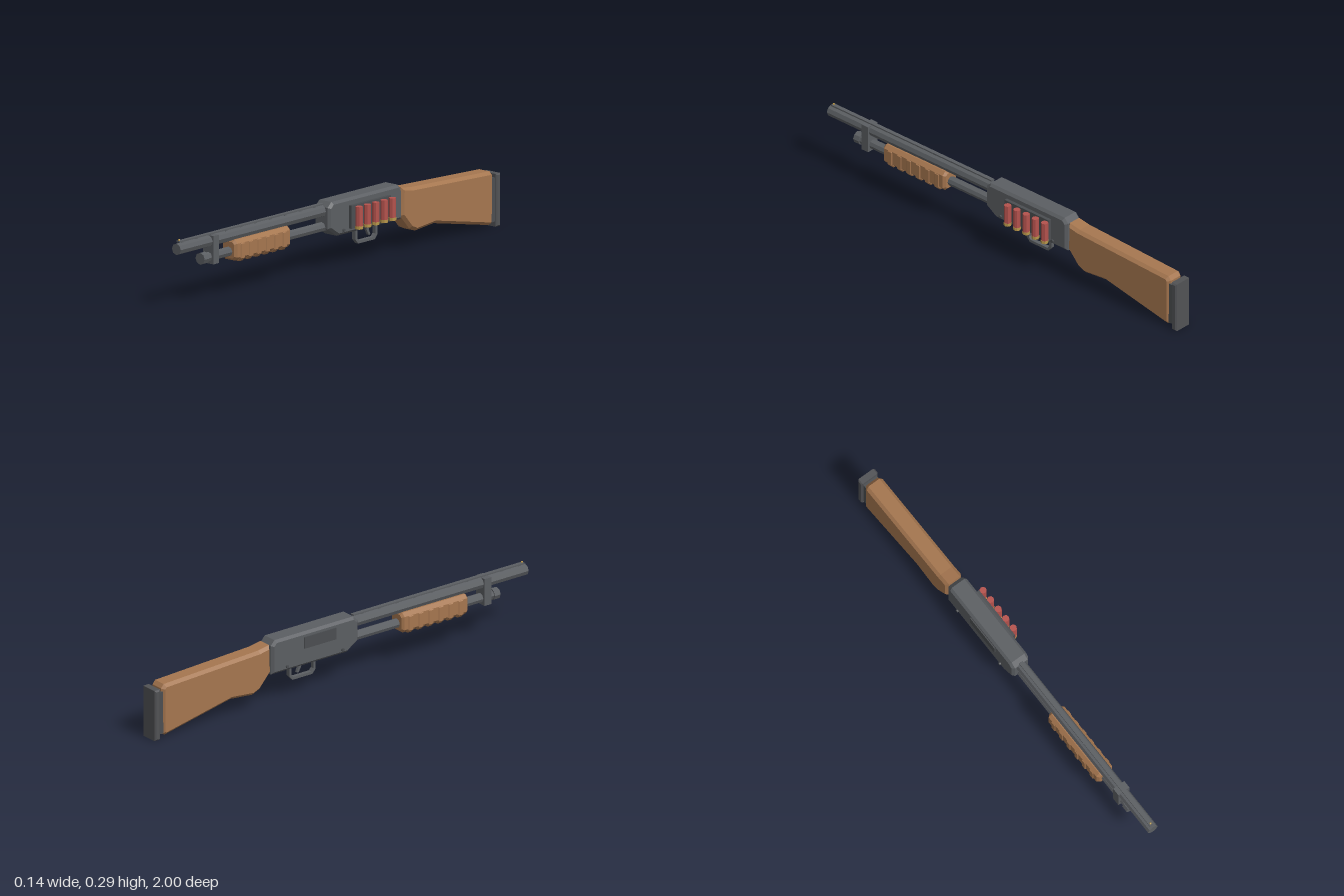
import * as THREE from 'three';

const mat = (name, color) => {
  const m = new THREE.MeshStandardMaterial({ color });
  m.name = name;
  return m;
};

export function createModel() {
  const metal = mat('gunmetal', 0x5b5e62);
  const dark = mat('dark steel', 0x4b4e51);
  const rubber = mat('rubber', 0x515255);
  const wood = mat('wood', 0xa5764f);
  const red = mat('shell red', 0xb4524d);
  const brass = mat('brass', 0xb8964a);

  const model = new THREE.Group();
  model.name = 'pumpShotgun';
  // everything is built around the bore line, then shifted to make room for the side shells
  const gun = new THREE.Group();
  gun.name = 'gun';
  gun.position.x = -0.02;
  model.add(gun);

  const add = (name, geo, material, x = 0, y = 0, z = 0) => {
    const g = geo.index ? geo.toNonIndexed() : geo;
    g.computeVertexNormals(); // faceted look
    const mesh = new THREE.Mesh(g, material);
    mesh.name = name;
    mesh.position.set(x, y, z);
    gun.add(mesh);
    return mesh;
  };
  const box = (name, m, w, h, d, x, y, z) => add(name, new THREE.BoxGeometry(w, h, d), m, x, y, z);
  // tube along z, from z0 to z1
  const rod = (name, m, r, y, z0, z1, sides = 8) =>
    add(name, new THREE.CylinderGeometry(r, r, z1 - z0, sides).rotateX(Math.PI / 2), m, 0, y, (z0 + z1) / 2);
  const extrude = (shape, depth, bevel) => {
    const g = new THREE.ExtrudeGeometry(shape, {
      depth: depth - 2 * bevel, bevelEnabled: bevel > 0, bevelThickness: bevel,
      bevelSize: bevel, bevelOffset: -bevel, bevelSegments: 1, curveSegments: 4,
    });
    return g.translate(0, 0, bevel - depth / 2);
  };
  const outline = (pts) => new THREE.Shape(pts.map(([a, b]) => new THREE.Vector2(a, b)));
  // side profile given as [z, y], widened along x
  const slab = (name, m, shape, width, bevel) =>
    add(name, extrude(shape, width, bevel).rotateY(-Math.PI / 2), m);

  // Receiver
  slab('receiver', metal, outline([
    [0.083, 0.178], [0.083, 0.27], [0.06, 0.292], [-0.358, 0.292],
    [-0.378, 0.27], [-0.378, 0.14], [0.025, 0.14],
  ]), 0.088, 0.011);
  box('ejectionPort', dark, 0.006, 0.052, 0.17, -0.046, 0.245, -0.125);
  for (const z of [-0.005, -0.3]) {
    add('receiverPin', new THREE.CylinderGeometry(0.007, 0.007, 0.102, 8).rotateZ(Math.PI / 2), dark, 0, 0.161, z);
  }

  // Barrel with raised sighting rib and bead
  rod('barrel', metal, 0.025, 0.252, 0.07, 1);
  box('sightRib', metal, 0.018, 0.006, 0.91, 0, 0.283, 0.535);
  for (let i = 0; i < 10; i++) box('ribPost', metal, 0.008, 0.012, 0.014, 0, 0.276, 0.13 + i * 0.093);
  add('beadSight', new THREE.SphereGeometry(0.005, 6, 4), brass, 0, 0.289, 0.983);

  // Magazine tube, cap and clamp
  rod('magazineTube', metal, 0.021, 0.184, 0.07, 0.83);
  rod('magazineCap', metal, 0.026, 0.184, 0.82, 0.85);
  box('barrelClamp', metal, 0.058, 0.122, 0.036, 0, 0.216, 0.78);

  // Pump handle with grip ridges
  const gripSection = (h, y0, y1, c) => outline([
    [-h + c, y0], [h - c, y0], [h, y0 + c], [h, y1 - c],
    [h - c, y1], [-h + c, y1], [-h, y1 - c], [-h, y0 + c],
  ]);
  add('pumpHandle', extrude(gripSection(0.041, 0.146, 0.236, 0.015), 0.352, 0.01), wood, 0, 0, 0.494);
  for (let i = 0; i < 6; i++) {
    add('pumpRidge', extrude(gripSection(0.0445, 0.14, 0.232, 0.015), 0.028, 0.004), wood, 0, 0, 0.362 + i * 0.053);
  }

  // Stock and butt pad
  slab('stock', wood, outline([
    [-0.379, 0.152], [-0.383, 0.275], [-0.441, 0.265], [-0.944, 0.243], [-0.958, 0.226],
    [-0.956, 0.018], [-0.938, 0.012], [-0.59, 0.083], [-0.473, 0.072], [-0.436, 0.088],
  ]), 0.084, 0.013);
  box('buttSpacer', dark, 0.07, 0.19, 0.03, 0, 0.117, -0.963);
  slab('buttPad', rubber, outline([
    [-0.971, 0], [-0.971, 0.228], [-1, 0.228], [-1, 0],
  ]), 0.088, 0.006);

  // Trigger guard loop and trigger
  const guard = outline([
    [-0.12, 0.145], [-0.26, 0.145], [-0.26, 0.093], [-0.242, 0.073], [-0.138, 0.073], [-0.12, 0.093],
  ]);
  guard.holes.push(outline([
    [-0.132, 0.139], [-0.132, 0.097], [-0.143, 0.085], [-0.237, 0.085], [-0.248, 0.097], [-0.248, 0.139],
  ]));
  slab('triggerGuard', metal, guard, 0.018, 0);
  slab('trigger', metal, outline([
    [-0.188, 0.145], [-0.206, 0.145], [-0.208, 0.122], [-0.218, 0.1], [-0.209, 0.097], [-0.196, 0.118],
  ]), 0.012, 0);

  // Side shell holder with five shells
  box('shellHolder', dark, 0.016, 0.1, 0.25, 0.051, 0.212, -0.165);
  for (let i = 0; i < 5; i++) {
    const z = -0.071 - i * 0.0525;
    add('shellBody', new THREE.CylinderGeometry(0.0155, 0.0155, 0.085, 8), red, 0.0735, 0.2135, z);
    add('shellBase', new THREE.CylinderGeometry(0.0165, 0.0165, 0.013, 8), brass, 0.0735, 0.1655, z);
  }
  return model;
}
